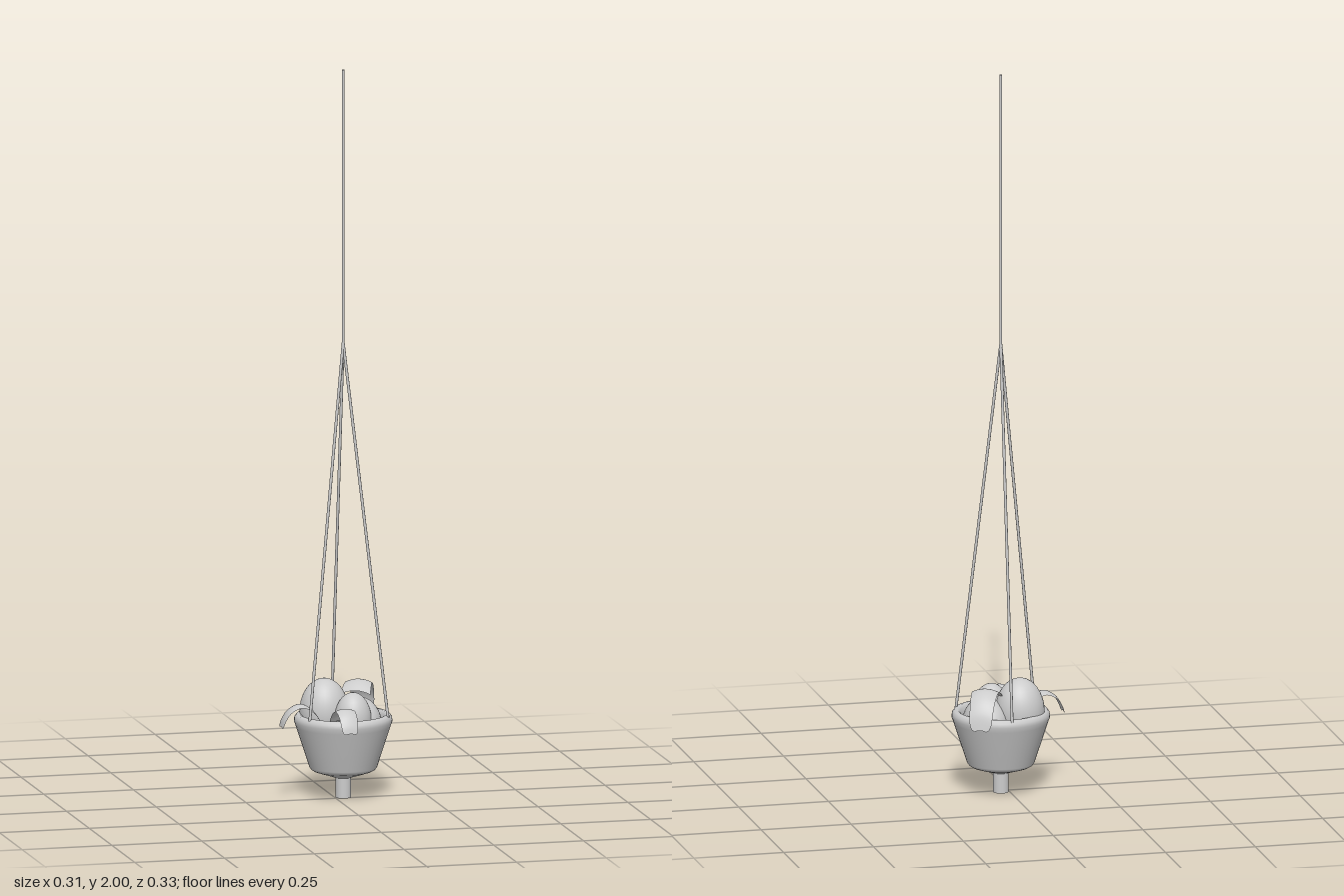
import * as THREE from 'three';

const mat = new THREE.MeshStandardMaterial({ color: 0xcccccc });
const thin = new THREE.MeshStandardMaterial({ color: 0xcccccc, side: THREE.DoubleSide });
const CX = 0.0235, CZ = -0.0115; // axis of the pot

function add(group, name, geometry, material = mat) {
  const mesh = new THREE.Mesh(geometry, material);
  mesh.name = name;
  group.add(mesh);
  return mesh;
}

// Straight cord between two points
function cord(group, name, a, b, r) {
  add(group, name, new THREE.TubeGeometry(new THREE.LineCurve3(a, b), 1, r, 8), thin);
}

// Arched leaf: a strip bent along a curve of (distance, height), with drooping edges
function leaf(group, name, [x, z], dir, path, baseWidth, tipWidth) {
  const curve = new THREE.SplineCurve(path.map(p => new THREE.Vector2(...p)));
  const geo = new THREE.PlaneGeometry(1, 1, 8, 24);
  const pos = geo.attributes.position;
  const len = Math.hypot(...dir), dx = dir[0] / len, dz = dir[1] / len;
  for (let i = 0; i < pos.count; i++) {
    const t = pos.getY(i) + 0.5, s = pos.getX(i) * 2;
    const p = curve.getPoint(t);
    const round = t > 0.85 ? Math.sqrt(1 - 0.7 * ((t - 0.85) / 0.15) ** 2) : 1;
    const half = THREE.MathUtils.lerp(baseWidth, tipWidth, t) * round / 2;
    pos.setXYZ(i, x + dx * p.x - dz * s * half, p.y - 0.25 * half * s * s, z + dz * p.x + dx * s * half);
  }
  geo.computeVertexNormals();
  add(group, name, geo, thin);
}

export function createModel() {
  const model = new THREE.Group();
  model.name = 'hangingPlanter';

  // Hollow pot with a rounded rim
  const profile = [
    [0, 0.055], [0.022, 0.055], [0.08, 0.074], [0.087, 0.078], [0.092, 0.085],
    [0.128, 0.196], [0.133, 0.21], [0.132, 0.221], [0.126, 0.229], [0.117, 0.23],
    [0.11, 0.225], [0.106, 0.212], [0.08, 0.1], [0, 0.095],
  ].map(p => new THREE.Vector2(...p));
  add(model, 'pot', new THREE.LatheGeometry(profile, 48), thin).position.set(CX, 0, CZ);

  // Drain stem under the pot
  add(model, 'drainStem', new THREE.CylinderGeometry(0.021, 0.021, 0.066, 24)).position.set(CX, 0.033, CZ);

  // Rounded plant bodies: centre, then radii
  [
    [-0.021, 0.23, -0.046, 0.067, 0.093, 0.067],
    [0.041, 0.22, 0.026, 0.05, 0.074, 0.05],
    [0.07, 0.2, -0.032, 0.062, 0.07, 0.085],
  ].forEach(([x, y, z, rx, ry, rz], i) => {
    const body = add(model, 'plantBody' + (i + 1), new THREE.SphereGeometry(1, 32, 20));
    body.position.set(x, y, z);
    body.scale.set(rx, ry, rz);
  });

  // Leaves curling over the rim
  const smallArch = [[0, 0.225], [0.02, 0.252], [0.05, 0.267], [0.08, 0.255], [0.098, 0.23], [0.105, 0.208]];
  leaf(model, 'leftLeaf', [-0.052, 0.016], [-1, 0.02], smallArch, 0.058, 0.046);
  leaf(model, 'frontLeaf', [-0.004, 0.062], [0.03, 1], smallArch, 0.062, 0.042);
  leaf(model, 'backLeaf', [0.065, -0.04], [0.05, -0.112],
    [[0, 0.285], [0.025, 0.302], [0.055, 0.308], [0.09, 0.29], [0.115, 0.255], [0.126, 0.212]], 0.082, 0.058);

  // Three cords meeting at a single hanging cord
  const knot = new THREE.Vector3(CX, 1.25, CZ);
  for (let i = 0; i < 3; i++) {
    const a = -Math.PI / 2 + i * Math.PI * 2 / 3;
    const foot = new THREE.Vector3(CX + 0.127 * Math.cos(a), 0.215, CZ + 0.127 * Math.sin(a));
    cord(model, 'sideCord' + (i + 1), foot, knot, 0.004);
  }
  cord(model, 'topCord', knot, new THREE.Vector3(CX, 2, CZ), 0.004);
  return model;
}
